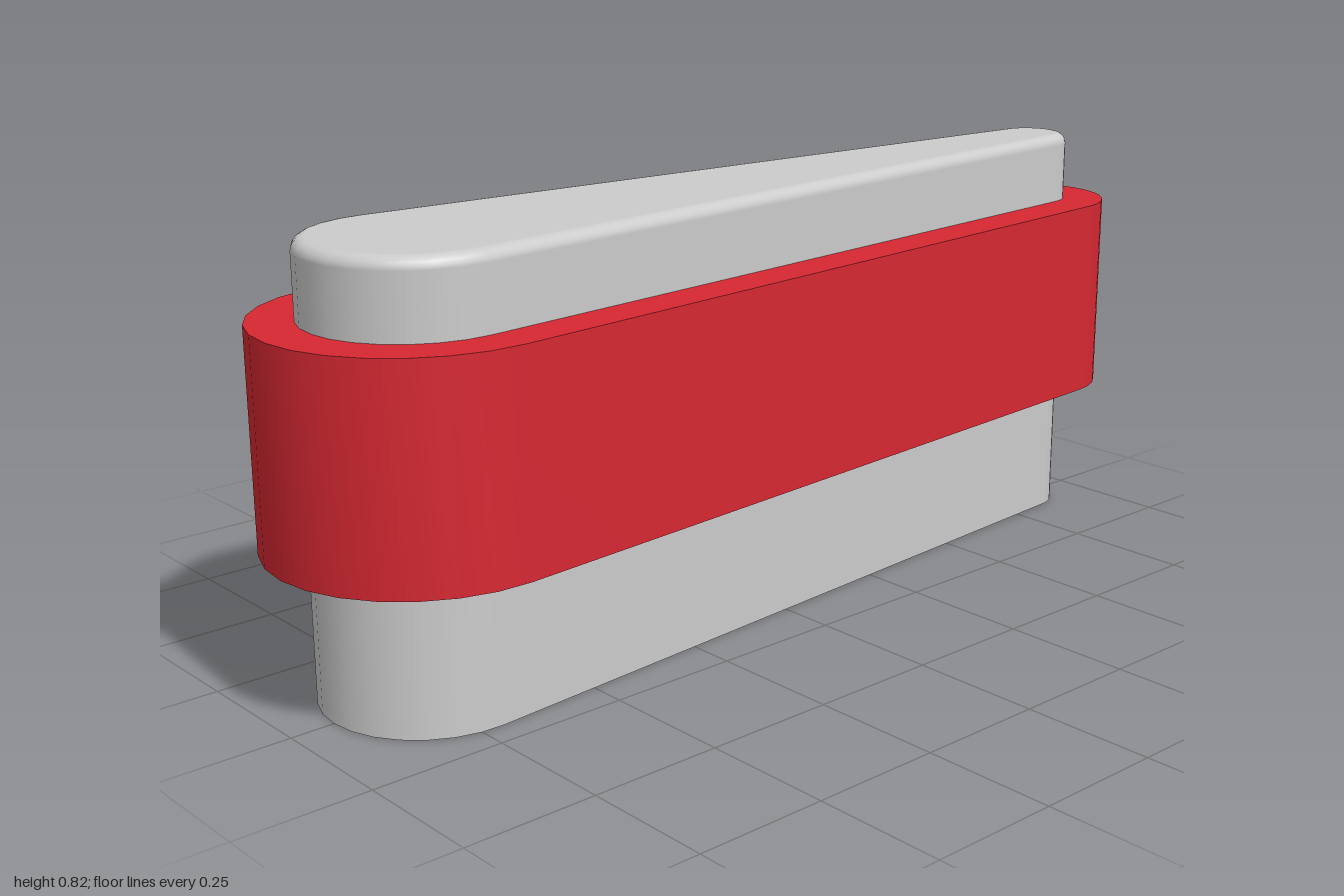
import * as THREE from 'three';
import { mergeGeometries, toCreasedNormals } from 'three/addons/utils/BufferGeometryUtils.js';

const BIG = { x: -0.72, r: 0.197 };
const SMALL = { x: 0.84, r: 0.077 };
const STEPS = 14;

// Tapered outline: two round ends joined by their tangents, grown by offset
function outline(offset) {
  const tangent = Math.acos((BIG.r - SMALL.r) / (SMALL.x - BIG.x));
  const points = [];
  const arc = ({ x, r }, from, to) => {
    for (let i = 0; i <= STEPS; i++) {
      const a = from + (to - from) * i / STEPS;
      points.push(new THREE.Vector2(x + (r + offset) * Math.cos(a), (r + offset) * Math.sin(a)));
    }
  };
  arc(SMALL, -tangent, tangent);
  arc(BIG, tangent, 2 * Math.PI - tangent);
  return points;
}

// Smooth wall through rows of [offset, y], bottom to top
function loftWall(rows) {
  const position = [], uv = [], index = [];
  const n = outline(0).length;
  rows.forEach(([offset, y], row) => {
    outline(offset).forEach((p, i) => {
      position.push(p.x, y, -p.y);
      uv.push(i / n, y);
      if (row === 0) return;
      const next = (i + 1) % n, low = (row - 1) * n, high = row * n;
      index.push(low + i, low + next, high + next, low + i, high + next, high + i);
    });
  });
  const geometry = new THREE.BufferGeometry();
  geometry.setAttribute('position', new THREE.Float32BufferAttribute(position, 3));
  geometry.setAttribute('uv', new THREE.Float32BufferAttribute(uv, 2));
  geometry.setIndex(index);
  geometry.computeVertexNormals();
  return geometry;
}

function cap(offset, y, facing) {
  return new THREE.ShapeGeometry(new THREE.Shape(outline(offset)))
    .rotateX(-facing * Math.PI / 2).translate(0, y, 0);
}

export function createModel() {
  const model = new THREE.Group();
  model.name = 'taperedBlockWithBand';

  // Body: straight wall with a rounded top edge
  const height = 0.82, round = 0.022;
  const rows = [[0, 0]];
  for (let i = 0; i <= 5; i++) {
    const a = i / 5 * Math.PI / 2;
    rows.push([round * (Math.cos(a) - 1), height - round + round * Math.sin(a)]);
  }
  const body = new THREE.Mesh(
    mergeGeometries([loftWall(rows), cap(-round, height, 1), cap(0, 0, -1)]),
    new THREE.MeshStandardMaterial({ color: 0xcccccc })
  );
  body.name = 'body';

  // Band: flat-edged collar around the body
  const ring = new THREE.Shape(outline(0.083));
  ring.holes.push(new THREE.Path(outline(-0.004)));
  const bandGeometry = new THREE.ExtrudeGeometry(ring, { depth: 0.4, bevelEnabled: false })
    .rotateX(-Math.PI / 2).translate(0, 0.28, 0);
  const band = new THREE.Mesh(
    toCreasedNormals(bandGeometry, Math.PI / 6),
    new THREE.MeshStandardMaterial({ color: 0xd62832 })
  );
  band.name = 'band';

  model.add(body, band);
  return model;
}
